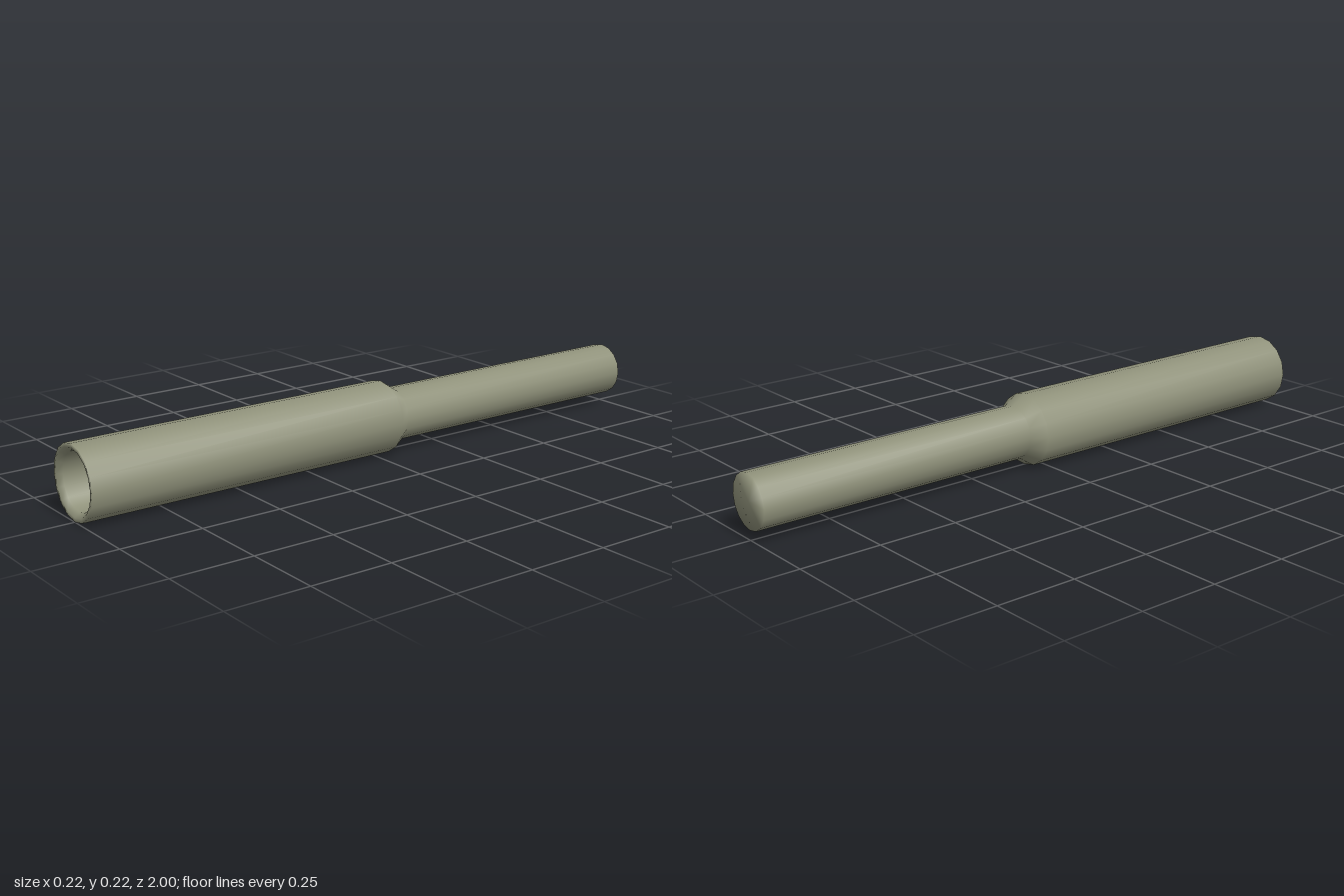
import * as THREE from 'three';
import { mergeVertices } from 'three/addons/utils/BufferGeometryUtils.js';

const R = 0.112; // radius of the wide sleeve

export function createModel() {
  const group = new THREE.Group();
  group.name = 'steppedTube';

  // Profile [radius, z]: back cap, thin shaft, shoulder, sleeve, rim, bore, bore floor
  const profile = [
    [0, -1], [0.083, -1],
    [0.083, -0.09], [R, -0.045],
    [R, 1], [0.1, 1], [0.0865, 0.985],
    [0.0865, -0.04], [0, -0.04],
  ].map(([r, z]) => new THREE.Vector2(r, z));

  // Weld the turned surface so normals are smooth and dominated by the long walls
  let geometry = new THREE.LatheGeometry(profile, 16);
  geometry.deleteAttribute('normal');
  geometry.deleteAttribute('uv');
  geometry = mergeVertices(geometry, 1e-4);
  geometry.computeVertexNormals();
  geometry.rotateX(Math.PI / 2); // axis along z, open end to the front

  const material = new THREE.MeshStandardMaterial({ color: 0x8f917a });
  const tube = new THREE.Mesh(geometry, material);
  tube.name = 'tubeBody';
  tube.position.y = R;
  group.add(tube);
  return group;
}
